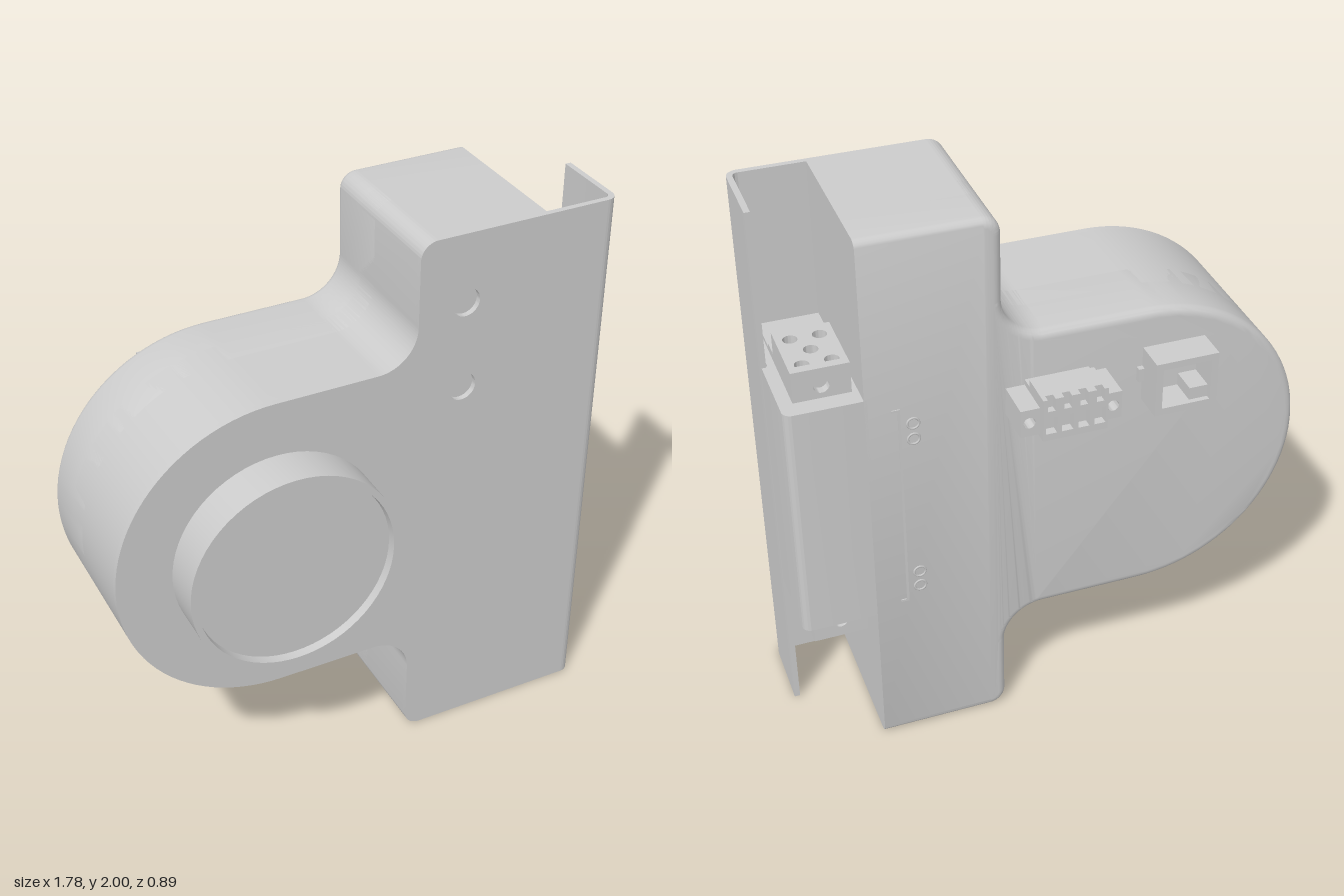
import * as THREE from 'three';
import { toCreasedNormals } from 'three/addons/utils/BufferGeometryUtils.js';

const mat = new THREE.MeshStandardMaterial({ color: 0xcccccc });
const PI = Math.PI;

function add(parent, name, geometry, creased = true) {
  const mesh = new THREE.Mesh(creased ? toCreasedNormals(geometry, 0.6) : geometry, mat);
  mesh.name = name;
  parent.add(mesh);
  return mesh;
}

// Box given by its limits on each axis
function box(parent, name, [x0, x1], [y0, y1], [z0, z1]) {
  const g = new THREE.BoxGeometry(x1 - x0, y1 - y0, z1 - z0);
  g.translate((x0 + x1) / 2, (y0 + y1) / 2, (z0 + z1) / 2);
  return add(parent, name, g, false);
}

function polygon(points) {
  return new THREE.Shape(points.map(([x, y]) => new THREE.Vector2(x, y)));
}
function rect(x0, x1, y0, y1) {
  return polygon([[x0, y0], [x1, y0], [x1, y1], [x0, y1]]);
}
function hole(shape, x, y, r) {
  shape.holes.push(new THREE.Path().absarc(x, y, r, 0, 2 * PI, true));
}
function extrudeZ(shape, z0, z1) {
  const g = new THREE.ExtrudeGeometry(shape, { depth: z1 - z0, bevelEnabled: false, curveSegments: 24 });
  return g.translate(0, 0, z0);
}
// Extrude an (x, z) section along y
function extrudeY(shape, y0, y1) {
  return extrudeZ(shape, 0, y1 - y0).rotateX(PI / 2).translate(0, y1, 0);
}

// Round lobe joined to an upright column with its far side at xMax
function outline(xMax) {
  const s = new THREE.Shape();
  s.moveTo(xMax, 0);
  s.lineTo(xMax, 2);
  s.absarc(0.23, 1.94, 0.06, PI / 2, PI, false);
  s.absarc(0.03, 1.705, 0.14, 0, -PI / 2, true);
  s.absarc(-0.33, 1, 0.565, PI / 2, 1.5 * PI, false);
  s.absarc(0.03, 0.295, 0.14, PI / 2, 0, true);
  s.absarc(0.23, 0.06, 0.06, PI, 1.5 * PI, false);
  s.closePath();
  return s;
}

function buildBody(root) {
  const wall = 0.63;
  add(root, 'bodyFront', extrudeZ(outline(wall), -0.1, 0.28));

  // Rounded rear edge; the column's inner wall is clamped flat
  const b = 0.03;
  const rear = new THREE.ExtrudeGeometry(outline(wall + 0.06), {
    depth: 0.3 - 2 * b, bevelSize: b, bevelThickness: b, bevelOffset: -b, bevelSegments: 5, curveSegments: 24,
  });
  rear.translate(0, 0, -0.275 + b);
  const p = rear.attributes.position;
  for (let i = 0; i < p.count; i++) p.setX(i, Math.min(p.getX(i), wall));
  add(root, 'bodyRear', rear);

  // Front sheet with two round openings
  const face = outline(0.84);
  hole(face, 0.34, 1.755, 0.05);
  hole(face, 0.34, 1.44, 0.05);
  add(root, 'frontPlate', extrudeZ(face, 0.28, 0.3));

  // Folded side of the front sheet
  const lip = new THREE.Shape();
  lip.moveTo(0.84, 0.28);
  lip.lineTo(0.85, 0.28);
  lip.absarc(0.85, 0.26, 0.02, PI / 2, 0, true);
  lip.lineTo(0.87, 0.015);
  lip.lineTo(0.89, 0.015);
  lip.absarc(0.85, 0.26, 0.04, 0, PI / 2, false);
  lip.lineTo(0.84, 0.3);
  add(root, 'coverLip', extrudeY(lip, 0, 2));

  // Round output collar with recessed face
  const profile = [[0.372, 0], [0.372, 0.15], [0.35, 0.15], [0.347, 0.12], [0, 0.12]];
  const collar = new THREE.LatheGeometry(profile.map(([x, y]) => new THREE.Vector2(x, y)), 64);
  add(root, 'frontCollar', collar.rotateX(PI / 2).translate(-0.33, 1, 0.3));
}

function buildSideBlock(root) {
  const s = new THREE.Shape();
  s.moveTo(0.62, 0.02);
  s.lineTo(0.62, -0.275);
  s.absarc(0.855, -0.245, 0.03, -PI / 2, 0, false);
  s.lineTo(0.885, 0.02);
  add(root, 'sideBlock', extrudeY(s, 0.56, 1.44));
  box(root, 'sideBlockCore', [0.63, 0.865], [0.56, 1.44], [0, 0.28]);

  // Screw terminal at each end of the block
  for (const turn of [0, PI]) {
    const g = new THREE.Group();
    g.name = turn ? 'lowerTerminal' : 'upperTerminal';
    g.position.set(0.745, 1, 0);
    g.rotation.z = turn;
    root.add(g);
    const top = rect(-0.095, 0.095, -0.18, 0.04);
    for (const x of [-0.048, 0.048]) for (const z of [-0.172, -0.02]) hole(top, x, z, 0.024);
    hole(top, 0, -0.096, 0.024);
    add(g, 'terminalTop', extrudeY(top, 0.465, 0.55));
    box(g, 'terminalBase', [-0.095, 0.095], [0.43, 0.465], [-0.18, 0.04]);
    const back = rect(-0.095, 0.095, 0.43, 0.55);
    hole(back, 0, 0.485, 0.026);
    add(g, 'terminalBack', extrudeZ(back, -0.21, -0.18));
    box(g, 'terminalStep', [-0.1, 0.095], [0.43, 0.47], [0.04, 0.11]);
    box(g, 'terminalShelf', [-0.085, 0.095], [0.43, 0.455], [0.11, 0.245]);
  }
}

function buildRearConnectors(root) {
  // Open socket
  const frame = rect(-0.53, -0.31, 1.23, 1.43);
  frame.holes.push(rect(-0.505, -0.335, 1.255, 1.405));
  add(root, 'socketShell', extrudeZ(frame, -0.388, -0.27));
  box(root, 'socketTongue', [-0.505, -0.44], [1.255, 1.3], [-0.37, -0.27]);
  box(root, 'socketLatch', [-0.31, -0.29], [1.31, 1.36], [-0.295, -0.27]);
  box(root, 'indicator', [-0.57, -0.56], [1.33, 1.37], [-0.283, -0.27]);

  // Pluggable terminal with four ways
  const flange = rect(-0.18, 0.165, 1.28, 1.38);
  for (const x of [-0.15, 0.135]) hole(flange, x, 1.33, 0.02);
  add(root, 'plugFlange', extrudeZ(flange, -0.415, -0.3));
  box(root, 'plugFlangeBase', [-0.18, 0.165], [1.28, 1.38], [-0.31, -0.27]);
  box(root, 'plugHeader', [-0.12, 0.1], [1.24, 1.4], [-0.33, -0.27]);

  const plug = rect(-0.12, 0.1, 1.27, 1.38);
  const comb = [[-0.12, -0.4], [0.1, -0.4], [0.1, -0.445]];
  for (let i = 0; i < 4; i++) {
    const x = 0.072 - i * 0.055;
    plug.holes.push(rect(x - 0.019, x + 0.019, 1.295, 1.355));
    comb.push([x + 0.013, -0.445], [x + 0.013, -0.42], [x - 0.013, -0.42], [x - 0.013, -0.445]);
  }
  comb.push([-0.12, -0.445]);
  add(root, 'plugFace', extrudeZ(plug, -0.445, -0.38));
  box(root, 'plugBody', [-0.12, 0.1], [1.27, 1.425], [-0.4, -0.32]);
  add(root, 'plugTeeth', extrudeY(polygon(comb.reverse()), 1.38, 1.425));
}

function buildRearDetails(root) {
  // Seam and screw rims on the back
  box(root, 'rearSeam', [0.517, 0.525], [0.6, 1.38], [-0.279, -0.27]);
  for (const y of [0.6, 1.38]) box(root, 'seamEnd', [0.517, 0.545], [y - 0.004, y + 0.004], [-0.279, -0.27]);
  for (const y of [0.65, 0.71, 1.26, 1.32]) {
    const rim = new THREE.TorusGeometry(0.02, 0.004, 6, 20);
    add(root, 'rearScrewRim', rim.translate(0.475, y, -0.275), false);
  }
}

export function createModel() {
  const root = new THREE.Group();
  root.name = 'driveUnit';
  buildBody(root);
  buildSideBlock(root);
  buildRearConnectors(root);
  buildRearDetails(root);
  return root;
}
